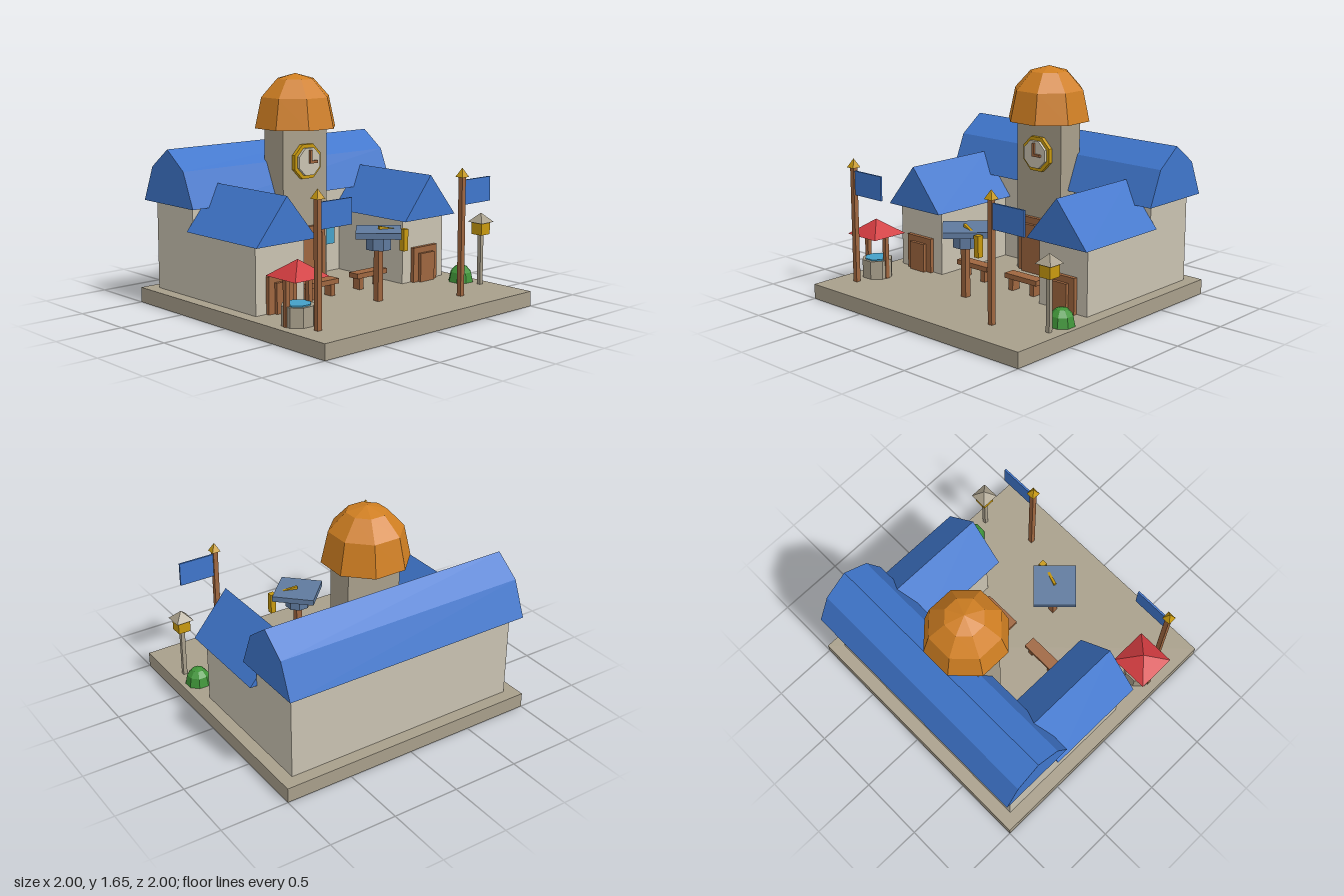
import * as THREE from 'three';

const mat = (name, color, side = THREE.FrontSide) => {
  const m = new THREE.MeshStandardMaterial({ color, side });
  m.name = name;
  return m;
};

export function createModel() {
  const model = new THREE.Group();
  model.name = 'townHall';

  const stone = mat('stone', 0xa89f8b, THREE.DoubleSide);
  const plaster = mat('plaster', 0xc9c2b1);
  const blue = mat('blueTile', 0x3f76cc);
  const orange = mat('orangeDome', 0xd07f22);
  const red = mat('redCanopy', 0xd03b3f);
  const wood = mat('wood', 0x9e663f);
  const gold = mat('gold', 0xc8990f);
  const cyan = mat('waterAndGlass', 0x45a0c8);
  const green = mat('leaf', 0x3f9438);
  const slate = mat('slate', 0x5f7a9e);

  // Adds a mesh with faceted normals
  function add(name, geo, material, x = 0, y = 0, z = 0, parent = model) {
    const flat = geo.index ? geo.toNonIndexed() : geo;
    flat.computeVertexNormals();
    const mesh = new THREE.Mesh(flat, material);
    mesh.name = name;
    mesh.position.set(x, y, z);
    parent.add(mesh);
    return mesh;
  }
  // Box given by its ranges along x, y and z
  function box(name, material, [x0, x1], [y0, y1], [z0, z1], parent = model) {
    return add(name, new THREE.BoxGeometry(x1 - x0, y1 - y0, z1 - z0), material,
      (x0 + x1) / 2, (y0 + y1) / 2, (z0 + z1) / 2, parent);
  }
  // Upright octagonal prism with flat sides on the axes; a is the half width
  const prism = (a, h) => new THREE.CylinderGeometry(a * 1.082, a * 1.082, h, 8, 1, false, Math.PI / 8);
  // Square pyramid standing on y = 0
  const pyramid = (half, h) =>
    new THREE.ConeGeometry(half * Math.SQRT2, h, 4).rotateY(Math.PI / 4).translate(0, h / 2, 0);
  // Eight sided dome standing on y = 0
  const dome = (a, h) => new THREE.LatheGeometry(
    [[0, 0], [1, 0], [0.84, 0.57], [0.456, 0.9], [0, 1]]
      .map(([r, y]) => new THREE.Vector2(r * a * 1.082, y * h)), 8, Math.PI / 8);
  // Profile extruded along z, centred
  const extrude = (points, depth) => new THREE.ExtrudeGeometry(
    new THREE.Shape(points.map(([x, y]) => new THREE.Vector2(x, y))),
    { depth, bevelEnabled: false }).translate(0, 0, -depth / 2);

  // Base, a slab open underneath
  const slab = new THREE.BoxGeometry(2, 0.11, 2);
  slab.setIndex([...slab.index.array].filter((_, i) => i < 18 || i >= 24));
  slab.clearGroups();
  add('base', slab, stone, 0, 0.055, 0);

  // Main hall with a double-pitched roof
  box('hallWalls', plaster, [-0.907, 0.907], [0.11, 0.757], [-0.905, -0.477]);
  const hallRoof = [[-0.293, 0.755], [0.293, 0.755], [0.187, 1.01], [0, 1.15], [-0.187, 1.01]];
  add('hallRoof', extrude(hallRoof, 1.92).rotateY(Math.PI / 2), blue, 0, 0, -0.693);

  // Tower with dome
  box('tower', stone, [-0.212, 0.212], [0.11, 1.27], [-0.53, -0.32]);
  add('towerDome', dome(0.287, 0.395), orange, 0, 1.26, -0.428);

  // Clock
  const clock = new THREE.Group();
  clock.name = 'clock';
  clock.position.set(0, 1.017, 0);
  model.add(clock);
  add('clockRim', prism(0.126, 0.03).rotateX(Math.PI / 2), gold, 0, 0, -0.305, clock);
  add('clockFace', prism(0.1, 0.025).rotateX(Math.PI / 2), plaster, 0, 0, -0.28, clock);
  box('minuteHand', wood, [-0.008, 0.009], [-0.01, 0.085], [-0.268, -0.25], clock);
  box('hourHand', wood, [-0.008, 0.065], [-0.012, 0.007], [-0.268, -0.25], clock);

  // Stepped door: frame and raised panel
  function door(name, x, z, half, h, panelHalf, panelH) {
    box(name + 'Frame', wood, [x - half, x + half], [0.11, h], [z - 0.01, z + 0.03]);
    box(name + 'Panel', wood, [x - panelHalf, x + panelHalf], [0.11, panelH], [z, z + 0.055]);
  }
  door('mainDoor', 0, -0.32, 0.17, 0.53, 0.12, 0.48);

  // Parts repeated on both sides
  for (const s of [-1, 1]) {
    const side = s > 0 ? 'left' : 'right';
    const x = s * 0.694;
    box(side + 'WingWalls', plaster, [x - 0.213, x + 0.213], [0.11, 0.592], [-0.48, 0.213]);
    add(side + 'WingRoof', extrude([[-0.265, 0.59], [0.265, 0.59], [0, 0.91]], 0.77), blue, x, 0, -0.095);
    door(side + 'WingDoor', x, 0.213, 0.123, 0.37, 0.073, 0.325);
    add(side + 'Window', new THREE.BoxGeometry(0.145, 0.172, 0.02), cyan, s * 0.347, 0.411, -0.47);

    // Bench
    const bx = s * 0.24;
    box(side + 'BenchSeat', wood, [bx - 0.15, bx + 0.15], [0.195, 0.232], [0.055, 0.145]);
    for (const o of [-0.1, 0.1])
      box(side + 'BenchLeg', wood, [bx + o - 0.02, bx + o + 0.02], [0.11, 0.195], [0.065, 0.135]);

    // Flagpole
    const px = s > 0 ? 0.53 : -0.827;
    box(side + 'FlagPole', wood, [px - 0.018, px + 0.018], [0.11, 0.965], [0.725, 0.761]);
    add(side + 'PoleTip', pyramid(0.034, 0.065), gold, px, 0.963, 0.743);
    box(side + 'Flag', blue, [px + 0.015, px + 0.292], [0.763, 0.94], [0.736, 0.75]);
  }

  // Sundial on a post, with a hanging weight
  box('dialPost', wood, [-0.023, 0.023], [0.11, 0.5], [0.427, 0.473]);
  add('dialCapital', prism(0.086, 0.1), slate, 0, 0.53, 0.45);
  add('dialTable', new THREE.CylinderGeometry(0.222, 0.222, 0.042, 4), slate, 0, 0.597, 0.45);
  const pointer = add('dialPointer', extrude([[0, 0], [0.117, 0], [0, 0.024]], 0.02), gold, 0, 0.617, 0.452);
  pointer.rotation.y = -0.34;
  box('hangingWeight', gold, [0.166, 0.208], [0.45, 0.605], [0.49, 0.535]);

  // Well with canopy
  const wx = -0.825, wz = 0.545;
  add('wellRing', prism(0.105, 0.135), stone, wx, 0.1775, wz);
  add('wellWater', prism(0.085, 0.012), cyan, wx, 0.248, wz);
  for (const o of [-0.097, 0.097])
    box('wellPost', wood, [wx + o - 0.016, wx + o + 0.016], [0.11, 0.44], [wz - 0.016, wz + 0.016]);
  add('wellCanopy', pyramid(0.148, 0.112), red, wx, 0.432, wz);

  // Lamp post
  const lx = 0.905, lz = 0.598;
  box('lampPost', stone, [lx - 0.015, lx + 0.015], [0.11, 0.49], [lz - 0.015, lz + 0.015]);
  box('lantern', gold, [lx - 0.047, lx + 0.047], [0.485, 0.577], [lz - 0.047, lz + 0.047]);
  add('lanternRoof', pyramid(0.067, 0.068), stone, lx, 0.576, lz);

  // Bush
  add('bush', dome(0.088, 0.125), green, 0.876, 0.11, 0.437);

  return model;
}
